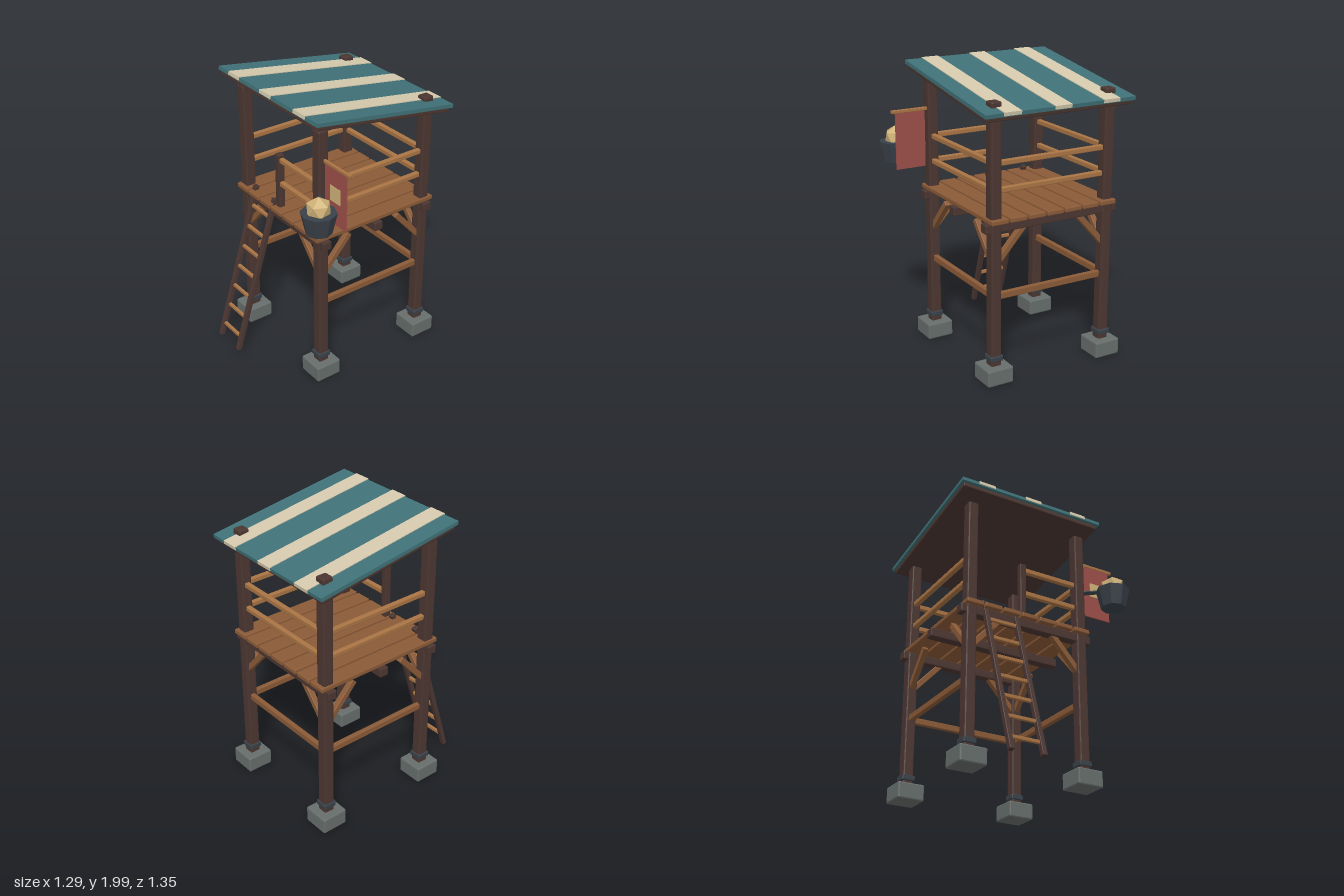
import * as THREE from 'three';
import { RoundedBoxGeometry } from 'three/addons/geometries/RoundedBoxGeometry.js';

const paint = (name, color) => {
  const m = new THREE.MeshStandardMaterial({ color });
  m.name = name;
  return m;
};

// Turns any geometry into flat facets
function faceted(geometry) {
  const g = geometry.index ? geometry.toNonIndexed() : geometry;
  g.computeVertexNormals();
  return g;
}

export function createModel() {
  const mats = {
    dark: paint('dark timber', 0x4b3631),
    plank: paint('plank wood', 0x8a5a37),
    light: paint('light wood', 0xa97444),
    stone: paint('stone', 0x666d6b),
    iron: paint('iron', 0x394149),
    teal: paint('teal canvas', 0x3f7177),
    cream: paint('cream canvas', 0xd4c9ac),
    red: paint('red cloth', 0x9c4f49),
    gold: paint('pale gold', 0xcfb278),
  };

  const model = new THREE.Group();
  model.name = 'watchtower';

  const group = (name) => {
    const g = new THREE.Group();
    g.name = name;
    model.add(g);
    return g;
  };
  const add = (parent, name, geometry, mat, x, y, z) => {
    const mesh = new THREE.Mesh(geometry, mat);
    mesh.name = name;
    mesh.position.set(x, y, z);
    parent.add(mesh);
    return mesh;
  };
  // Box with chamfered edges, centred on x, y, z
  const beam = (parent, name, mat, [w, h, d], [x, y, z], bevel = 0.006) =>
    add(parent, name, faceted(new RoundedBoxGeometry(w, h, d, 1, bevel)), mat, x, y, z);
  // Chamfered bar running between two points
  const bar = (parent, name, mat, a, b, w, d) => {
    const from = new THREE.Vector3(...a), to = new THREE.Vector3(...b);
    const mid = from.clone().add(to).multiplyScalar(0.5);
    const mesh = beam(parent, name, mat, [w, from.distanceTo(to), d], mid.toArray(), 0.004);
    mesh.quaternion.setFromUnitVectors(new THREE.Vector3(0, 1, 0), to.sub(from).normalize());
    return mesh;
  };

  const CX = -0.095, CZ = -0.117, HALF = 0.425;
  const SPAN = 2 * HALF - 0.06;

  // Corner posts with footings, collars and knee braces
  const frame = group('frame');
  for (const sx of [-1, 1]) {
    for (const sz of [-1, 1]) {
      const x = CX + sx * HALF, z = CZ + sz * HALF;
      beam(frame, 'footing', mats.stone, [0.19, 0.114, 0.19], [x, 0.057, z], 0.01);
      beam(frame, 'post', mats.dark, [0.075, 1.788, 0.075], [x, 0.974, z], 0.01);
      beam(frame, 'collar', mats.iron, [0.092, 0.038, 0.092], [x, 0.164, z]);
      bar(frame, 'kneeBrace', mats.plank, [x, 0.8, z], [x - sx * 0.225, 1.048, z], 0.04, 0.04);
      bar(frame, 'kneeBrace', mats.plank, [x, 0.8, z], [x, 1.048, z - sz * 0.225], 0.04, 0.04);
    }
  }
  for (const s of [-1, 0, 1]) {
    beam(frame, 'deckBeam', mats.dark, [1.0, 0.062, 0.066], [CX, 1.06, CZ + s * HALF]);
  }

  // Deck planks
  const deck = group('deck');
  for (let i = -3; i <= 3; i++) {
    beam(deck, 'deckPlank', mats.plank, [0.122, 0.032, 0.98], [CX + i * 0.1375, 1.106, CZ]);
  }

  // Lower ties and guard rails on the back and both sides
  const rails = group('rails');
  const tiers = [[0.59, 0.046, mats.plank], [1.298, 0.035, mats.light], [1.473, 0.035, mats.light]];
  for (const [y, h, mat] of tiers) {
    beam(rails, 'backRail', mat, [SPAN, h, 0.034], [CX, y, CZ - HALF]);
    for (const s of [-1, 1]) {
      beam(rails, 'sideRail', mat, [0.034, h, SPAN], [CX + s * HALF, y, CZ]);
    }
  }

  // Short front rail beside the ladder opening
  const gateX = -0.124, frontZ = CZ + HALF;
  beam(rails, 'gatePost', mats.dark, [0.046, 0.41, 0.046], [gateX, 1.308, frontZ]);
  for (const y of [1.298, 1.473]) {
    const right = CX + HALF - 0.03;
    beam(rails, 'frontRail', mats.light, [right - gateX, 0.035, 0.034], [(right + gateX) / 2, y, frontZ]);
  }

  // Leaning ladder
  const ladder = group('ladder');
  const ladderZ = (y) => 0.668 - 0.31 * y;
  for (const x of [-0.415, -0.187]) {
    bar(ladder, 'ladderRail', mats.dark, [x, 0.025, ladderZ(0.025)], [x, 1.15, ladderZ(1.15)], 0.034, 0.034);
  }
  for (let i = 0; i < 7; i++) {
    const y = 0.119 + i * 0.1485;
    beam(ladder, 'rung', mats.light, [0.21, 0.024, 0.022], [-0.301, y, ladderZ(y)], 0.004);
  }

  // Sloping roof: timber board, canvas and stripes
  const roof = group('roof');
  roof.position.set(CX, 1.874, -0.121);
  roof.rotation.x = -0.153;
  beam(roof, 'roofBoard', mats.dark, [1.075, 0.034, 1.07], [0, -0.015, 0]);
  add(roof, 'roofCanvas', new THREE.BoxGeometry(1.108, 0.026, 1.104), mats.teal, 0, 0.014, 0);
  for (const s of [-1, 0, 1]) {
    add(roof, 'roofStripe', new THREE.BoxGeometry(0.123, 0.024, 1.115), mats.cream, s * 0.366, 0.02, 0);
  }

  // Hanging banner
  const banner = group('banner');
  beam(banner, 'bannerPole', mats.light, [0.275, 0.023, 0.021], [0.49, 1.665, 0.302], 0.004);
  add(banner, 'bannerCloth', new THREE.BoxGeometry(0.217, 0.39, 0.009), mats.red, 0.489, 1.46, 0.305);
  add(banner, 'bannerPatch', new THREE.BoxGeometry(0.1, 0.105, 0.006), mats.gold, 0.489, 1.48, 0.311);

  // Fire basket on a bracket, with a faceted flame
  const brazier = group('brazier');
  const bx = 0.523, bz = 0.463;
  add(brazier, 'basket', faceted(new THREE.CylinderGeometry(0.118, 0.086, 0.141, 8)), mats.iron, bx, 1.357, bz);
  bar(brazier, 'bracket', mats.iron, [0.34, 1.42, 0.317], [0.46, 1.42, 0.412], 0.026, 0.026);
  const flame = new THREE.IcosahedronGeometry(0.085, 0);
  flame.rotateX(-Math.atan2((1 + Math.sqrt(5)) / 2, 1)); // one corner straight up
  flame.rotateY(1.75);
  add(brazier, 'flame', flame, mats.gold, bx, 1.451, bz);

  return model;
}
